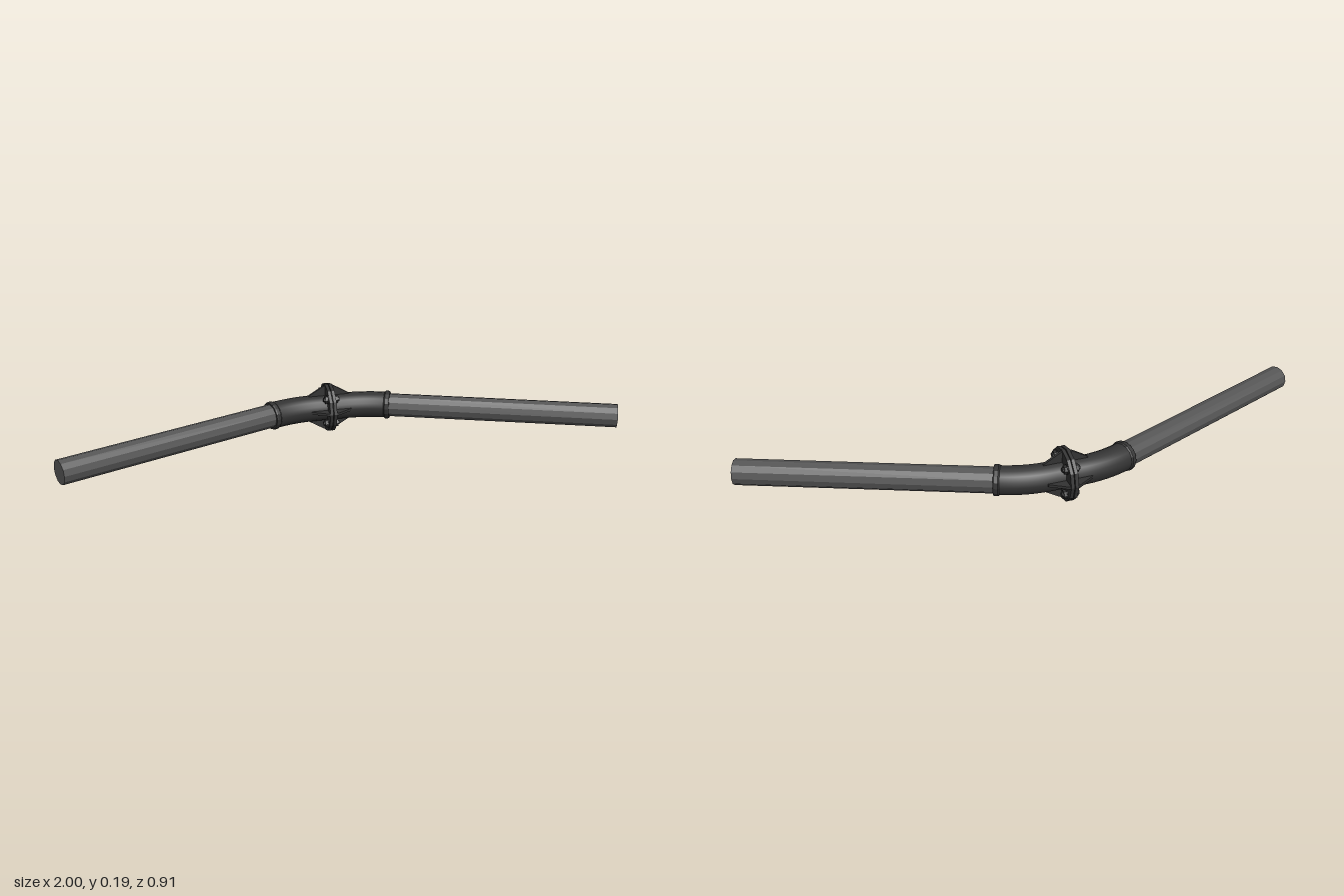
import * as THREE from 'three';

const BEND = Math.PI / 8;          // each half turns 22.5 degrees
const CORNER = 0.146;              // flange face to bend corner
const SOCKET = 0.102;              // bend corner to socket mouth

const pipeMat = new THREE.MeshStandardMaterial({ color: 0x555555, flatShading: true });
const castMat = new THREE.MeshStandardMaterial({ color: 0x333333, flatShading: true });
const smoothMat = new THREE.MeshStandardMaterial({ color: 0x333333 });

function add(parent, name, geo, mat) {
  const m = new THREE.Mesh(geo, mat);
  m.name = name;
  parent.add(m);
  return m;
}

// cylinder lying along x, from x0 to x1
function rod(r, x0, x1, sides) {
  return new THREE.CylinderGeometry(r, r, Math.abs(x1 - x0), sides)
    .rotateZ(Math.PI / 2).translate((x0 + x1) / 2, 0, 0);
}

// one half: flange at the origin, body running towards -x and bending to +z
function createHalf(pipeEnd) {
  const half = new THREE.Group();
  const dir = new THREE.Vector3(-Math.cos(BEND), 0, Math.sin(BEND));
  const corner = new THREE.Vector3(-CORNER, 0, 0);
  const along = s => corner.clone().addScaledVector(dir, s);

  // bent body
  const path = new THREE.CurvePath();
  const bendStart = new THREE.Vector3(-CORNER + 0.09, 0, 0);
  path.add(new THREE.LineCurve3(new THREE.Vector3(-0.004, 0, 0), bendStart));
  path.add(new THREE.QuadraticBezierCurve3(bendStart, corner, along(0.09)));
  path.add(new THREE.LineCurve3(along(0.09), along(SOCKET)));
  add(half, 'elbowBody', new THREE.TubeGeometry(path, 16, 0.052, 16), smoothMat);

  // straight part: rim bead and pipe share the direction of the bend
  const arm = new THREE.Group();
  arm.name = 'arm';
  arm.position.copy(corner);
  arm.rotation.y = BEND;
  half.add(arm);
  const rim = [[0.04, -0.012], [0.052, -0.012], [0.056, -0.007], [0.056, 0.005], [0.053, 0.01], [0.04, 0.01]]
    .map(([r, y]) => new THREE.Vector2(r, y));
  const bead = add(arm, 'socketRim', new THREE.LatheGeometry(rim, 16), castMat);
  bead.rotation.z = Math.PI / 2;
  bead.position.x = -SOCKET + 0.004;
  add(arm, 'pipe', rod(0.0465, -SOCKET + 0.03, -pipeEnd, 12), pipeMat);

  // flange plate
  add(half, 'flange', rod(0.097, -0.014, -0.0015, 12), castMat);

  // four tapered ribs between flange and body
  const ribShape = new THREE.Shape([
    [-0.012, 0.035], [-0.012, 0.092], [-0.022, 0.09], [-0.082, 0.054], [-0.082, 0.035],
  ].map(([x, y]) => new THREE.Vector2(x, y)));
  const ribGeo = new THREE.ExtrudeGeometry(ribShape, { depth: 0.01, bevelEnabled: false })
    .translate(0, 0, -0.005);
  for (let i = 0; i < 4; i++) {
    add(half, 'rib', ribGeo, castMat).rotation.x = i * Math.PI / 2;
  }

  // four nuts with washers and bolt ends, between the ribs
  for (let i = 0; i < 4; i++) {
    const a = Math.PI / 4 + i * Math.PI / 2;
    const bolt = new THREE.Group();
    bolt.name = 'bolt';
    bolt.position.set(0, 0.071 * Math.sin(a), 0.071 * Math.cos(a));
    add(bolt, 'washer', rod(0.019, -0.012, -0.016, 12), castMat);
    add(bolt, 'nut', rod(0.016, -0.012, -0.026, 6), castMat);
    add(bolt, 'boltEnd', rod(0.009, -0.012, -0.032, 8), castMat);
    half.add(bolt);
  }
  return half;
}

export function createModel() {
  const model = new THREE.Group();
  model.name = 'flangedPipeBend';

  const joint = new THREE.Group();
  joint.name = 'joint';
  joint.position.set(0.117, 0.1, -0.349);
  joint.rotation.y = -BEND;
  model.add(joint);

  const rightHalf = createHalf(0.982);
  rightHalf.name = 'rightHalf';
  const leftHalf = createHalf(1.008);
  leftHalf.name = 'leftHalf';
  leftHalf.rotation.z = Math.PI;
  joint.add(rightHalf, leftHalf);

  // thin gasket between the flanges
  add(joint, 'gasket', rod(0.088, -0.0015, 0.0015, 12), castMat);
  return model;
}
